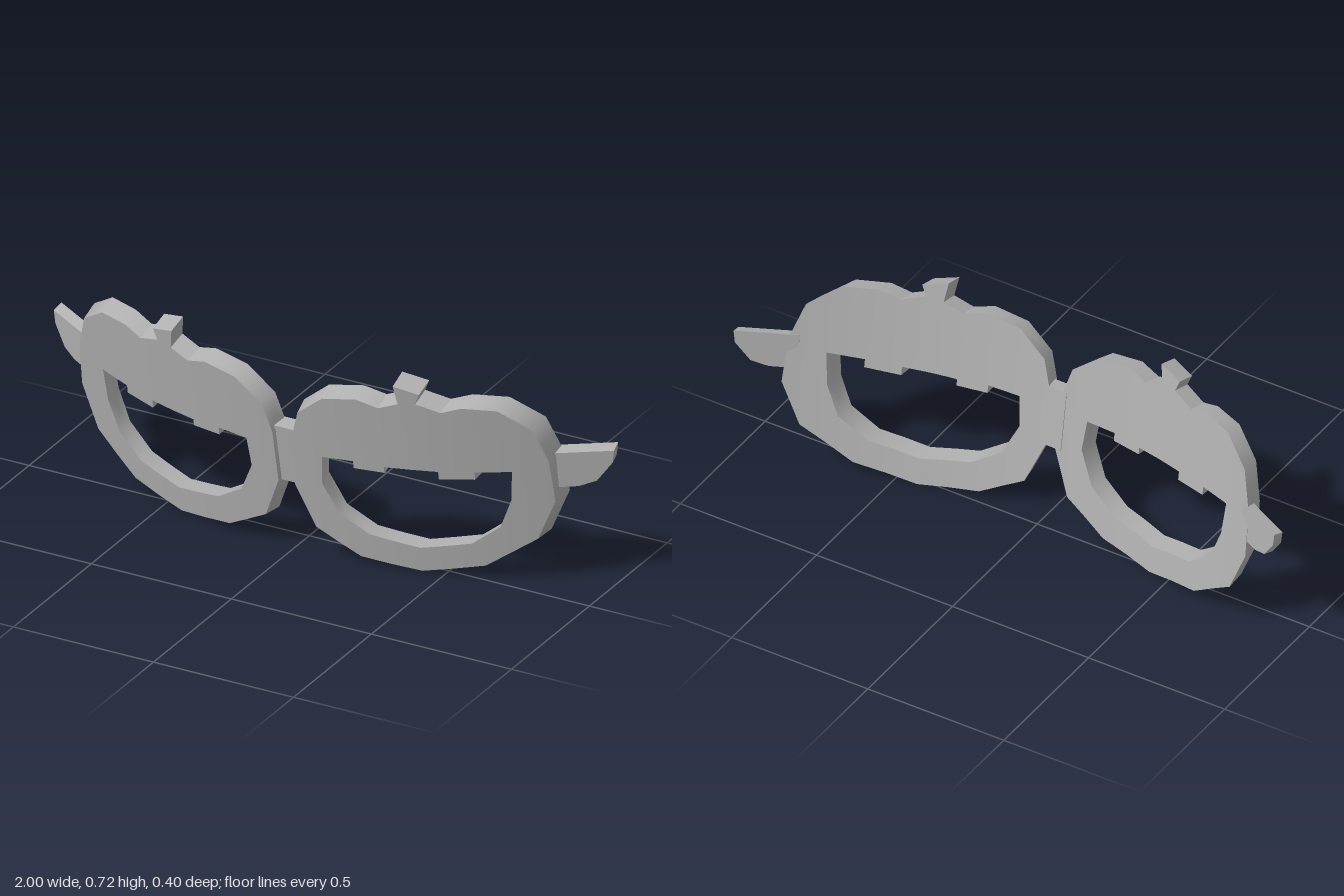
import * as THREE from 'three';
import { toCreasedNormals } from 'three/addons/utils/BufferGeometryUtils.js';

// Outer rim of one lens frame, with scalloped pumpkin top and stem
const RIM = [
  [0.034, 0.43], [0.064, 0.53], [0.155, 0.605], [0.27, 0.625], [0.34, 0.605], [0.405, 0.63],
  [0.395, 0.696], [0.475, 0.675], [0.46, 0.638], [0.535, 0.614], [0.6, 0.637], [0.705, 0.635],
  [0.8, 0.567], [0.838, 0.45], [0.845, 0.3], [0.785, 0.157], [0.625, 0.045], [0.43, 0.003],
  [0.235, 0.025], [0.09, 0.105], [0.03, 0.25],
];
// Grinning-mouth opening with two teeth on its upper edge
const MOUTH = [
  [0.73, 0.407], [0.62, 0.397], [0.62, 0.37], [0.51, 0.36], [0.51, 0.388], [0.34, 0.382],
  [0.34, 0.36], [0.24, 0.36], [0.24, 0.386], [0.135, 0.38], [0.125, 0.28], [0.175, 0.175],
  [0.27, 0.115], [0.43, 0.09], [0.59, 0.125], [0.68, 0.195], [0.72, 0.3],
];
const TEMPLE = [[0.82, 0.463], [1, 0.473], [0.995, 0.43], [0.95, 0.365], [0.9, 0.345], [0.82, 0.34]];

// Curved, forward-leaning surface of the lens frames; t runs from front (0) to back (1)
const lensMap = (x, y, t) => new THREE.Vector3(
  x + (x - 0.55) * 0.025 * t,
  y + (0.035 * y - 0.003) * t,
  0.1 - 0.3 * x * x + 0.175 * y - (0.066 + 0.018 * x * x) * t,
);

// Temple stubs sweep backwards
const templeMap = (x, y, t) => new THREE.Vector3(
  x - 0.006 * t,
  y + 0.012 * t,
  -0.075 - (x - 0.85) * 0.56 - (0.465 - y) * 0.08 - 0.038 * t,
);

// Halve the longest edge of a triangle until all edges are short enough to bend
function splitTriangle(tri, out) {
  const lengths = tri.map((p, i) => p.distanceTo(tri[(i + 1) % 3]));
  const longest = Math.max(...lengths);
  if (longest < 0.12) {
    out.push(...tri);
    return;
  }
  const k = lengths.indexOf(longest);
  const [a, b, c] = [tri[k], tri[(k + 1) % 3], tri[(k + 2) % 3]];
  const mid = a.clone().add(b).multiplyScalar(0.5);
  splitTriangle([a, mid, c], out);
  splitTriangle([mid, b, c], out);
}

// Extrude an outline, then bend it by a rule; side = -1 mirrors it
function bentPlate(outline, hole, map, side) {
  const depth = 0.08;
  const points = (list) => list.map(([x, y]) => new THREE.Vector2(side * x, y));
  const shape = new THREE.Shape(points(outline));
  if (hole) shape.holes.push(new THREE.Path(points(hole)));
  const flat = new THREE.ExtrudeGeometry(shape, { depth, bevelEnabled: false }).attributes.position;

  const verts = [];
  for (let i = 0; i < flat.count; i += 3) {
    const tri = [0, 1, 2].map((j) => new THREE.Vector3().fromBufferAttribute(flat, i + j));
    splitTriangle(tri, verts);
  }
  const bend = (x, y, z) => {
    const p = map(side * x, y, 1 - z / depth);
    p.x *= side;
    return p;
  };
  const bent = new THREE.BufferGeometry().setFromPoints(verts.map((v) => bend(v.x, v.y, v.z)));
  const geo = toCreasedNormals(bent, 0.6);

  // Smooth front and back faces take the normal of the bending rule itself
  const e = 0.001;
  for (let i = 0; i < verts.length; i++) {
    const first = i - (i % 3);
    const { x, y, z } = verts[i];
    if (verts[first].z !== verts[first + 1].z || verts[first].z !== verts[first + 2].z) continue;
    const p = bend(x, y, z);
    const n = bend(x + e, y, z).sub(p).cross(bend(x, y + e, z).sub(p)).normalize();
    if (z < depth / 2) n.negate();
    geo.attributes.normal.setXYZ(i, n.x, n.y, n.z);
  }
  return geo;
}

export function createModel() {
  const group = new THREE.Group();
  const grey = new THREE.MeshStandardMaterial({ color: 0xb0b0b0 });
  grey.name = 'plain grey';

  const add = (name, geo) => {
    const mesh = new THREE.Mesh(geo, grey);
    mesh.name = name;
    group.add(mesh);
    return mesh;
  };

  for (const [label, side] of [['left', 1], ['right', -1]]) {
    add(label + 'LensFrame', bentPlate(RIM, MOUTH, lensMap, side));
    add(label + 'Temple', bentPlate(TEMPLE, null, templeMap, side));
  }

  // Nose bridge between the frames
  const bridge = add('bridge', new THREE.BoxGeometry(0.08, 0.205, 0.055));
  bridge.position.set(0, 0.353, 0.118);
  bridge.rotation.x = Math.atan(0.175);

  return group;
}
